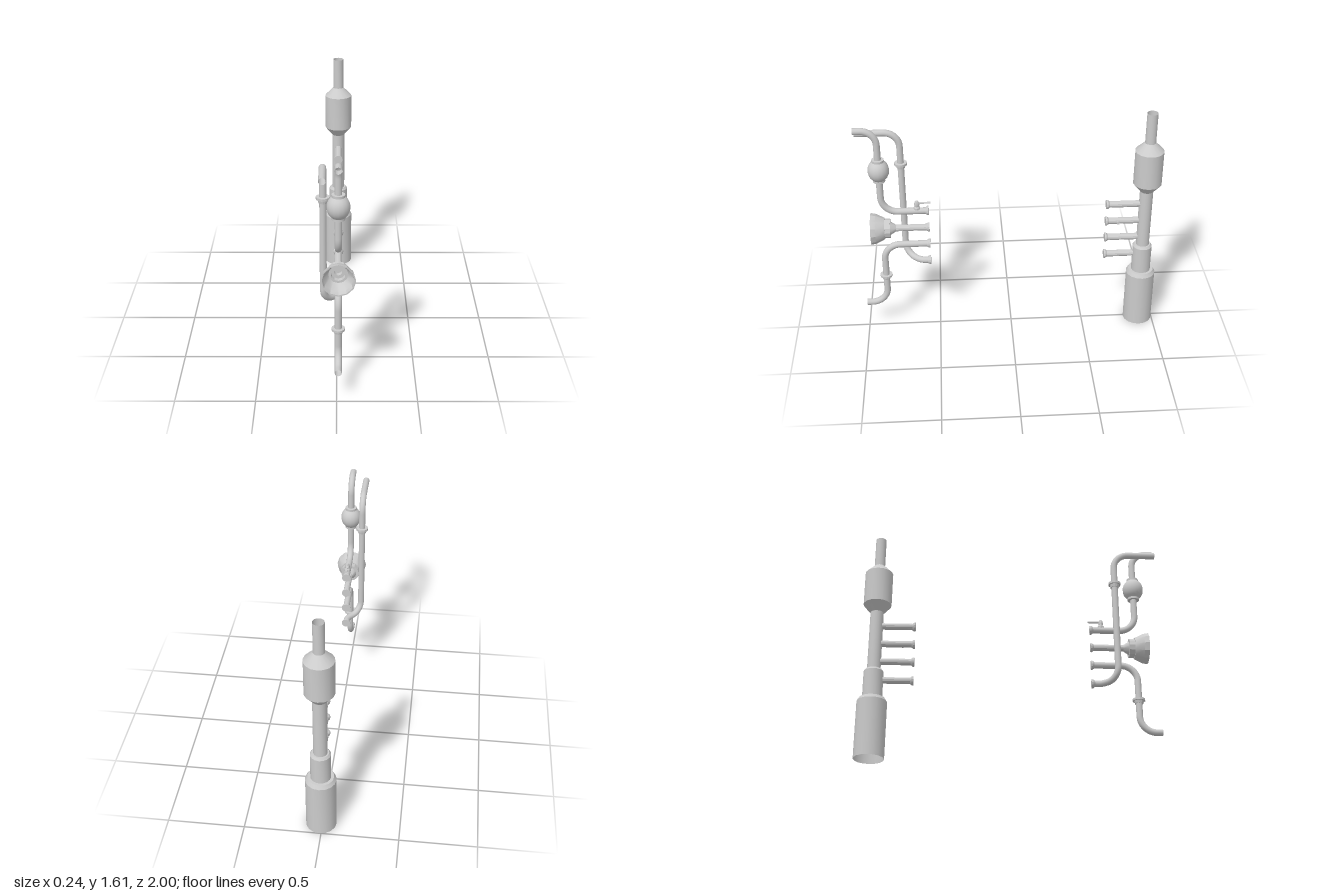
import * as THREE from 'three';
import { toCreasedNormals } from 'three/addons/utils/BufferGeometryUtils.js';

const CX = 0.01; // shared centre line of column and fittings
const V = (x, y, z) => new THREE.Vector3(x, y, z);
const grey = new THREE.MeshStandardMaterial({ color: 0xcccccc, side: THREE.DoubleSide });

export function createModel() {
  const group = new THREE.Group();

  const add = (name, geometry, x = 0, y = 0, z = 0) => {
    const mesh = new THREE.Mesh(geometry, grey);
    mesh.name = name;
    mesh.position.set(x, y, z);
    group.add(mesh);
    return mesh;
  };

  // Turned part from [radius, height] pairs
  const turned = (profile, sides) => toCreasedNormals(
    new THREE.LatheGeometry(profile.map(([r, h]) => new THREE.Vector2(r, h)), sides), 0.5);

  // Round pipe along a polyline whose inner corners are rounded by radii
  const pipe = (name, points, radii, r = 0.022) => {
    const path = new THREE.CurvePath();
    let from = points[0];
    for (let i = 1; i < points.length - 1; i++) {
      const c = points[i], d = radii[i - 1];
      const a = c.clone().add(points[i - 1].clone().sub(c).setLength(d));
      const b = c.clone().add(points[i + 1].clone().sub(c).setLength(d));
      path.add(new THREE.LineCurve3(from, a));
      path.add(new THREE.CubicBezierCurve3(a, a.clone().lerp(c, 0.55), b.clone().lerp(c, 0.55), b));
      from = b;
    }
    path.add(new THREE.LineCurve3(from, points[points.length - 1]));
    return add(name, new THREE.TubeGeometry(path, 80, r, 12, false));
  };

  // Hollow stepped column
  add('column', turned([
    [0.1, 0], [0.1, 0.39], [0.085, 0.415], [0.066, 0.415], [0.066, 0.605], [0.055, 0.62],
    [0.045, 0.62], [0.045, 1.04], [0.095, 1.1], [0.095, 1.34], [0.036, 1.4], [0.036, 1.61],
  ], 16), CX, 0, -0.9);

  // Four flanged outlets on the column and the matching flanges facing them
  const levels = [0.545, 0.68, 0.81, 0.94];
  const flange = [[0, 0], [0.031, 0], [0.031, 0.01], [0.022, 0.022]];
  for (const y of levels) {
    add('columnOutlet', turned([...flange, [0.022, 0.24]], 12), CX, y, -0.635).rotation.x = -Math.PI / 2;
    add('pipeFlange', turned(flange, 12), CX, y, 0.545).rotation.x = Math.PI / 2;
  }
  const port = add('sidePort', new THREE.CylinderGeometry(0.011, 0.011, 0.02, 8), CX + 0.025, 0.81, -0.718);
  port.rotation.z = Math.PI / 2;

  // Upper pipe with its bulb
  pipe('upperPipe', [V(CX, 0.94, 0.55), V(CX, 0.94, 0.855), V(CX, 1.54, 0.855), V(CX, 1.54, 1)], [0.11, 0.1]);
  const bulb = [[0.022, -0.08], [0.04, -0.08], [0.04, -0.065]];
  for (let i = -5; i <= 5; i++) {
    const a = i * 0.18;
    bulb.push([0.07 * Math.cos(a), 0.078 * Math.sin(a)]);
  }
  bulb.push([0.04, 0.065], [0.04, 0.08], [0.022, 0.08]);
  add('bulb', turned(bulb, 16), CX, 1.255, 0.855);

  // Lower pipe and offset riser
  pipe('lowerPipe', [V(CX, 0.68, 0.55), V(CX, 0.68, 0.855), V(CX, 0.207, 0.855), V(CX, 0.207, 1)], [0.11, 0.11]);
  pipe('riserPipe', [V(CX, 0.545, 0.55), V(CX, 0.545, 0.61), V(-0.082, 0.545, 0.715),
    V(-0.082, 1.477, 0.715), V(-0.082, 1.477, 1)], [0.03, 0.09, 0.1]);

  // Collars around the vertical runs
  const collar = [[0.022, -0.02], [0.028, -0.02], [0.032, 0.002], [0.042, 0.002], [0.042, 0.018], [0.022, 0.018]];
  add('riserCollar', turned(collar, 12), -0.082, 1.24, 0.715);
  add('lowerCollar', turned(collar.map(([r, h]) => [r, h * 0.85]), 12), CX, 0.425, 0.855);

  // Bell: pipe, stepped throat and hollow cup opening forward
  add('bell', turned([
    [0.022, 0.55], [0.022, 0.767], [0.046, 0.805], [0.065, 0.805], [0.065, 0.842], [0.072, 0.842],
    [0.1, 0.9], [0.106, 0.933], [0.098, 0.933], [0.092, 0.9], [0.06, 0.85],
    [0.045, 0.85], [0.045, 0.82], [0.024, 0.82], [0.024, 0.79], [0, 0.79],
  ], 12), CX, 0.81, 0).rotation.x = Math.PI / 2;

  // Valve with lever on the upper pipe
  add('valveBody', turned([
    [0.022, 0], [0.022, 0.012], [0.016, 0.022], [0.018, 0.04], [0.01, 0.06], [0, 0.06],
  ], 8), CX, 0.955, 0.622);
  add('valveLever', new THREE.BoxGeometry(0.014, 0.006, 0.09), CX, 1.0, 0.577);

  return group;
}
